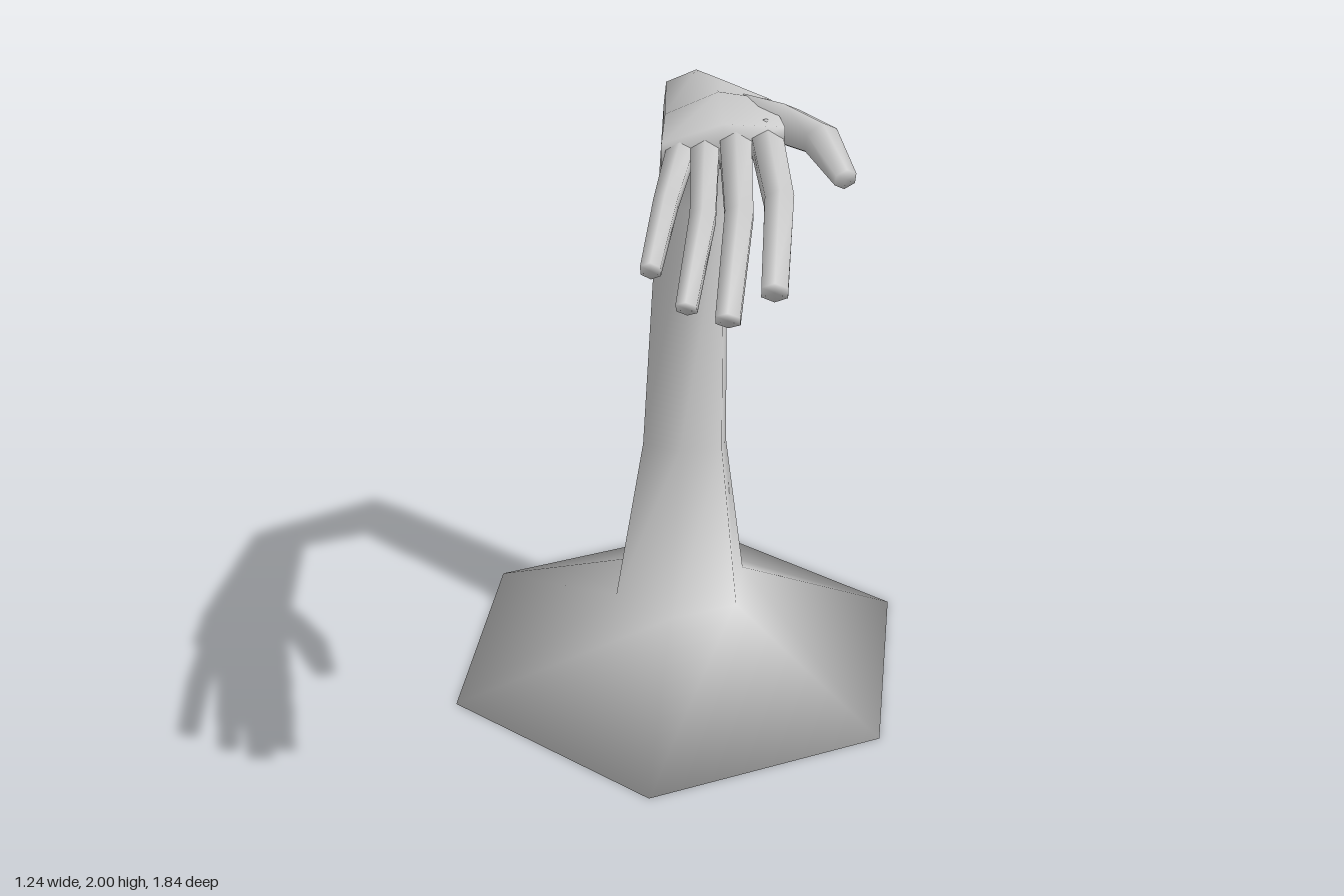
import * as THREE from 'three';

const SIDES = 6;

// Skin six-sided rings {c: centre, u: side vector, v: back/up vector} into one smooth closed body.
function loft(name, rings) {
  const pos = [], idx = [];
  for (const { c, u, v } of rings) {
    for (let k = 0; k < SIDES; k++) {
      const a = (k / SIDES) * Math.PI * 2;
      const p = c.clone()
        .addScaledVector(v, Math.cos(a))
        .addScaledVector(u, -Math.sin(a) / Math.sin(Math.PI / 3));
      pos.push(p.x, p.y, p.z);
    }
  }
  const last = (rings.length - 1) * SIDES;
  const startCap = rings.length * SIDES, endCap = startCap + 1;
  pos.push(...rings[0].c.toArray(), ...rings[rings.length - 1].c.toArray());
  for (let k = 0; k < SIDES; k++) {
    const n = (k + 1) % SIDES;
    for (let r = 0; r < last; r += SIDES) {
      idx.push(r + k, r + n, r + SIDES + n, r + k, r + SIDES + n, r + SIDES + k);
    }
    idx.push(startCap, n, k, endCap, last + k, last + n);
  }
  const geo = new THREE.BufferGeometry();
  geo.setAttribute('position', new THREE.Float32BufferAttribute(pos, 3));
  geo.setIndex(idx);
  geo.computeVertexNormals();
  const mesh = new THREE.Mesh(geo, new THREE.MeshStandardMaterial({ color: 0xcccccc }));
  mesh.name = name;
  return mesh;
}

// Ring from its inner (front/under) and outer (back/top) points, half width, yaw and roll.
function limbRing([x, halfWidth, yaw, roll, innerY, innerZ, outerY, outerZ]) {
  return {
    c: new THREE.Vector3(x, (innerY + outerY) / 2, (innerZ + outerZ) / 2),
    u: new THREE.Vector3(Math.cos(yaw), roll, -Math.sin(yaw)).multiplyScalar(halfWidth),
    v: new THREE.Vector3(0, (outerY - innerY) / 2, (outerZ - innerZ) / 2),
  };
}

// Jointed finger through points [x, y, z, radius].
function finger(name, joints) {
  const pts = joints.map((j) => new THREE.Vector3(j[0], j[1], j[2]));
  const rings = pts.map((c, i) => {
    const dir = pts[Math.min(i + 1, pts.length - 1)].clone().sub(pts[Math.max(i - 1, 0)]).normalize();
    const u = new THREE.Vector3(dir.z, 0, -dir.x).normalize();
    const v = dir.clone().cross(u);
    const r = joints[i][3];
    return { c, u: u.multiplyScalar(r * 0.92), v: v.multiplyScalar(r) };
  });
  return loft(name, rings);
}

export function createModel() {
  const model = new THREE.Group();
  model.name = 'reachingArm';

  // Flared base, forearm, bent wrist and palm in one continuous skin
  const sections = [
    [0, 0.62, 0, 0, 0, 0.45, 0, -0.925],              // base rim
    [0, 0.178, 0, 0, 0.26, -0.04, 0.26, -0.43],       // foot of the arm
    [0, 0.115, 0, 0, 0.72, -0.22, 0.65, -0.455],      // lower arm
    [0.005, 0.092, 0.1, 0, 1.41, -0.36, 1.46, -0.555], // first bend
    [0.04, 0.075, 0.2, 0, 1.78, -0.12, 1.87, -0.22],  // second bend
    [0.15, 0.125, 0.25, 0.1, 1.865, 0.32, 1.995, 0.27], // heel of the hand
    [0.18, 0.14, 0.12, 0.15, 1.88, 0.46, 1.985, 0.45], // knuckles
  ];
  model.add(loft('baseArmAndPalm', sections.map(limbRing)));

  // Fingers, rooted inside the palm
  const fingers = {
    littleFinger: [[0.085, 1.92, 0.4, 0.036], [0.075, 1.87, 0.65, 0.029], [0.07, 1.805, 0.86, 0.024]],
    ringFinger: [[0.135, 1.925, 0.41, 0.036], [0.16, 1.85, 0.67, 0.031], [0.15, 1.73, 0.88, 0.025]],
    middleFinger: [[0.205, 1.935, 0.42, 0.04], [0.24, 1.86, 0.67, 0.034], [0.242, 1.72, 0.905, 0.029]],
    indexFinger: [[0.27, 1.945, 0.39, 0.04], [0.325, 1.885, 0.64, 0.035], [0.338, 1.78, 0.88, 0.031]],
    thumb: [[0.21, 1.935, 0.25, 0.05], [0.31, 1.945, 0.33, 0.05], [0.4, 1.945, 0.415, 0.043], [0.465, 1.91, 0.555, 0.026]],
  };
  for (const [name, joints] of Object.entries(fingers)) model.add(finger(name, joints));

  return model;
}
